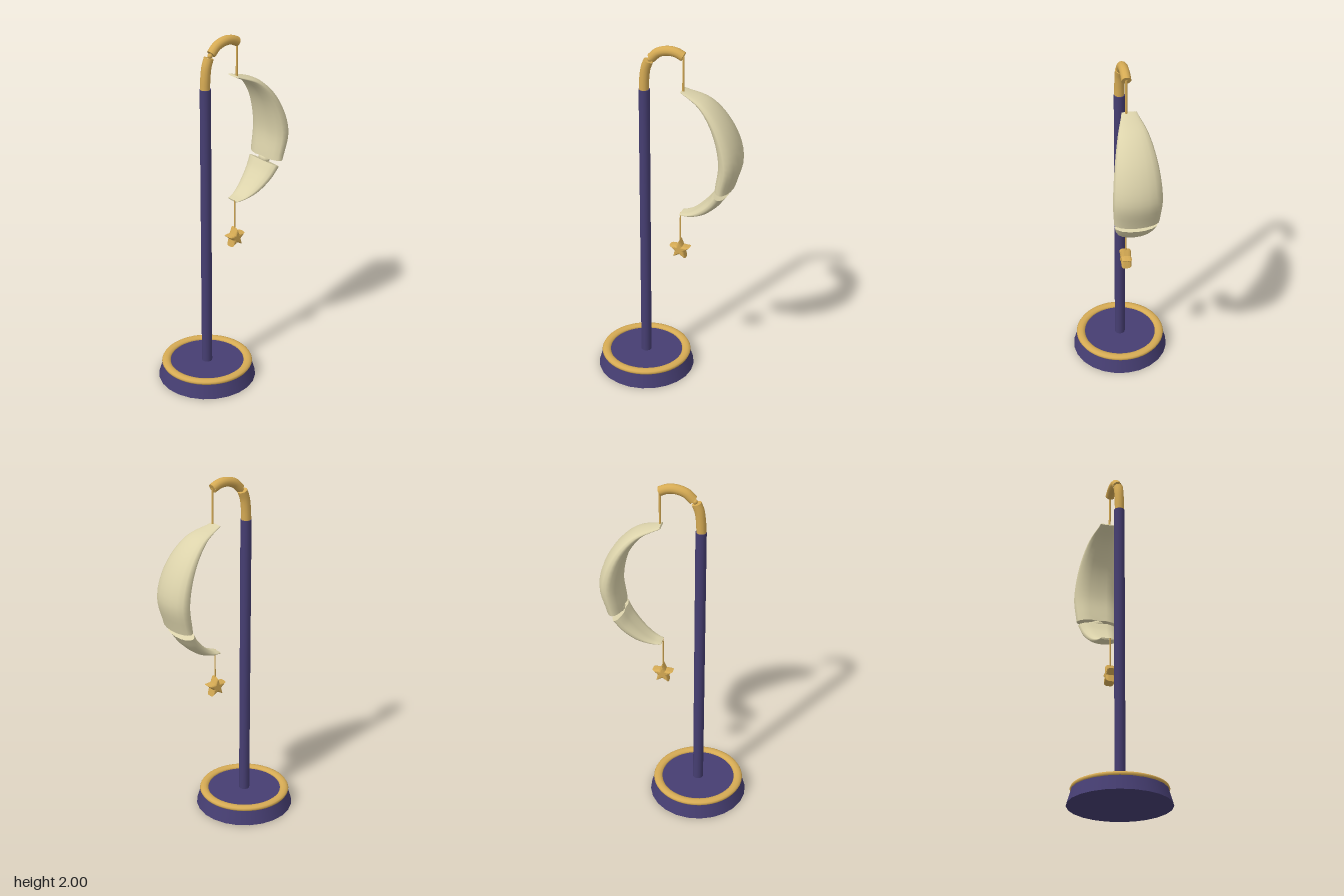
import * as THREE from 'three';

export function createModel() {
  const model = new THREE.Group();
  const mat = (name, color, side = THREE.FrontSide) => {
    const m = new THREE.MeshStandardMaterial({ color, side });
    m.name = name;
    return m;
  };
  const navy = mat('navy', 0x463e72);
  const gold = mat('gold', 0xd6ab54);
  const cream = mat('cream', 0xdcd3ab, THREE.DoubleSide);

  const add = (name, geometry, material, x = 0, y = 0, z = 0) => {
    const mesh = new THREE.Mesh(geometry, material);
    mesh.name = name;
    mesh.position.set(x, y, z);
    model.add(mesh);
    return mesh;
  };
  const curve = (pts) => new THREE.CatmullRomCurve3(pts.map(([x, y]) => new THREE.Vector3(x, y, 0)));

  // Base, rim and pole
  const px = -0.135;
  add('base', new THREE.CylinderGeometry(0.25, 0.277, 0.09, 24), navy, px, 0.045);
  const rim = add('baseRim', new THREE.TorusGeometry(0.233, 0.025, 10, 48), gold, px, 0.089);
  rim.rotation.x = Math.PI / 2;
  rim.scale.z = 0.6;
  add('pole', new THREE.CylinderGeometry(0.03, 0.03, 1.66, 12), navy, px, 0.91);

  // Hook in two pieces with closed ends
  const tube = (name, pts, r) => {
    const path = curve(pts);
    add(name, new THREE.TubeGeometry(path, 20, r, 12), gold);
    [0, 1].forEach((t) => {
      const cap = add(name + 'End', new THREE.CircleGeometry(r, 12), gold);
      cap.position.copy(path.getPoint(t));
      const dir = path.getTangent(t).multiplyScalar(t ? 1 : -1);
      cap.quaternion.setFromUnitVectors(new THREE.Vector3(0, 0, 1), dir);
    });
  };
  tube('lowerHook', [[-0.137, 1.735], [-0.134, 1.8], [-0.126, 1.86], [-0.11, 1.905]], 0.027);
  tube('upperHook', [[-0.094, 1.922], [-0.055, 1.958], [0, 1.974], [0.045, 1.97], [0.083, 1.953]], 0.026);
  add('hookJoint', new THREE.SphereGeometry(0.014, 10, 8), gold, -0.102, 1.914);

  // Crescent: rings spanned between an inner and an outer edge, widening away from the tips
  const N = 16, K = 20;
  const crescent = (name, inner, outer) => {
    const ci = curve(inner), co = curve(outer);
    const pos = [], index = [];
    const ring = (t) => {
      const a = ci.getPoint(t), b = co.getPoint(t);
      const cx = (a.x + b.x) / 2, cy = (a.y + b.y) / 2;
      const half = 0.04 + Math.max(0, cx - 0.08) * 0.335;
      for (let j = 0; j < N; j++) {
        const q = (j / N) * Math.PI * 2;
        const c = Math.cos(q) * (j === N / 2 ? 0.75 : 1);
        pos.push(cx + (b.x - a.x) / 2 * c, cy + (b.y - a.y) / 2 * c, -0.016 + half * Math.sin(q));
      }
      return [cx, cy, -0.016];
    };
    for (let k = 0; k <= K; k++) ring(k / K);
    for (let k = 0; k < K; k++) {
      for (let j = 0; j < N; j++) {
        const a = k * N + j, b = k * N + (j + 1) % N;
        index.push(a, b, a + N, b, b + N, a + N);
      }
    }
    // End caps with their own corners
    [0, 1].forEach((t) => {
      const s = pos.length / 3;
      pos.push(...ring(t));
      for (let j = 0; j < N; j++) {
        const a = s + j, b = s + (j + 1) % N;
        index.push(s + N, t ? a : b, t ? b : a);
      }
    });
    const g = new THREE.BufferGeometry();
    g.setAttribute('position', new THREE.Float32BufferAttribute(pos, 3));
    g.setIndex(index);
    g.computeVertexNormals();
    add(name, g, cream);
  };
  crescent('upperCrescent',
    [[0.07, 1.755], [0.165, 1.7], [0.246, 1.58], [0.288, 1.4], [0.272, 1.24]],
    [[0.076, 1.765], [0.23, 1.71], [0.35, 1.575], [0.407, 1.4], [0.367, 1.232]]);
  crescent('lowerCrescent',
    [[0.268, 1.222], [0.235, 1.165], [0.167, 1.09], [0.115, 1.05], [0.07, 1.035]],
    [[0.338, 1.188], [0.285, 1.118], [0.21, 1.058], [0.13, 1.032], [0.072, 1.025]]);
  const joint = add('crescentJoint', new THREE.SphereGeometry(0.025, 10, 8), cream, 0.303, 1.222, -0.016);
  joint.scale.z = 1.6;

  // Hanging threads
  const thread = (name, x, top, bottom, r) =>
    add(name, new THREE.CylinderGeometry(r, r, top - bottom, 8), gold, x, (top + bottom) / 2);
  thread('upperThread', 0.083, 1.955, 1.755, 0.006);
  thread('lowerThread', 0.071, 1.035, 0.85, 0.004);

  // Puffy star
  const star = new THREE.Shape();
  for (let i = 0; i < 10; i++) {
    const r = i % 2 ? 0.029 : 0.061, a = Math.PI / 2 + i * Math.PI / 5;
    star[i ? 'lineTo' : 'moveTo'](r * Math.cos(a), r * Math.sin(a));
  }
  star.closePath();
  const starGeo = new THREE.ExtrudeGeometry(star, {
    depth: 0.022, bevelEnabled: true, bevelThickness: 0.017, bevelSize: 0.011, bevelOffset: -0.011, bevelSegments: 3,
  });
  starGeo.translate(0, 0, -0.011);
  add('star', starGeo, gold, 0.071, 0.81);

  return model;
}
